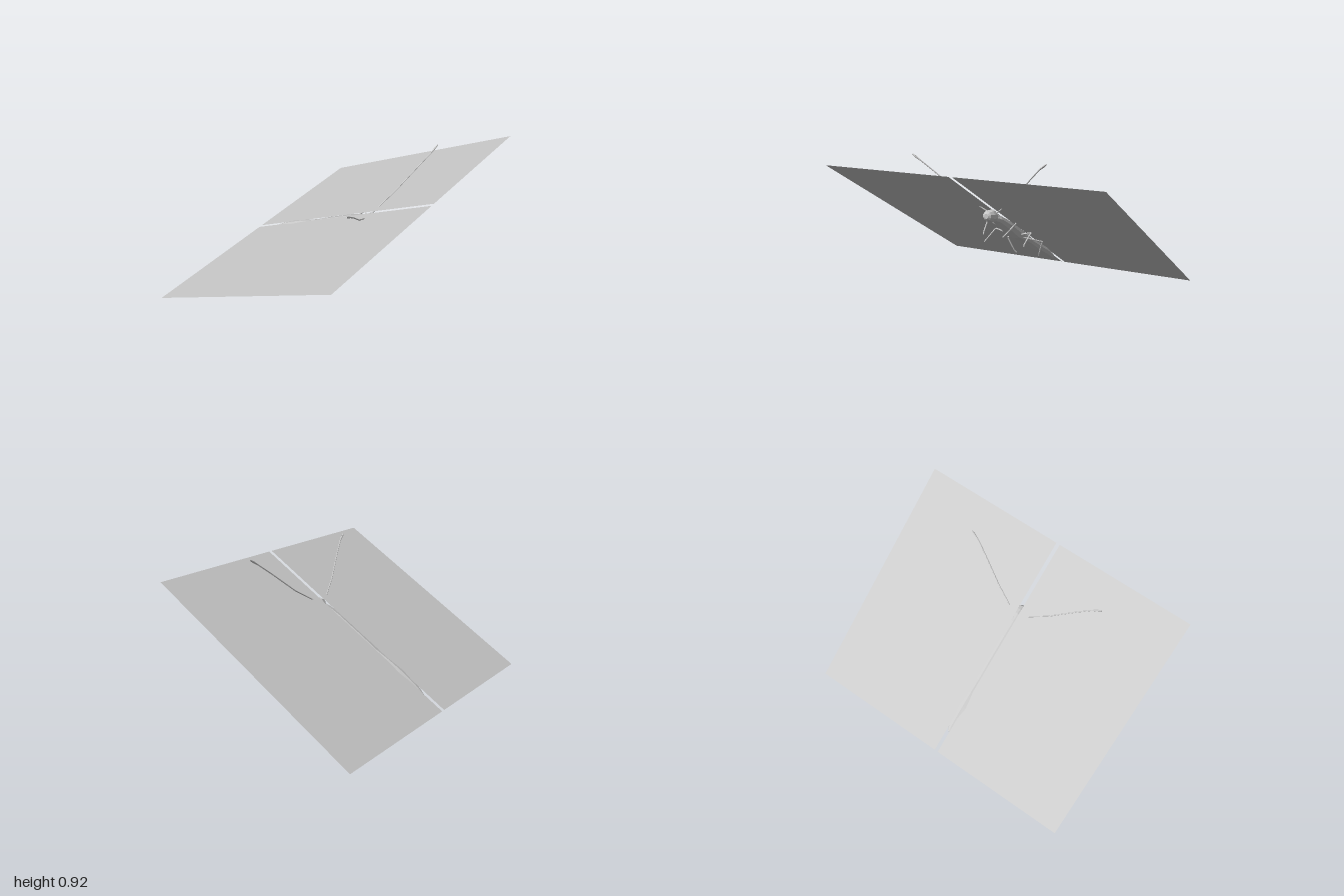
import * as THREE from 'three';

const material = new THREE.MeshStandardMaterial({ color: 0xcccccc, flatShading: true });
const wingMaterial = new THREE.MeshStandardMaterial({ color: 0xcccccc, side: THREE.DoubleSide });
const CENTRE_X = -0.004;

function addMesh(parent, name, geometry, mat = material) {
  const mesh = new THREE.Mesh(geometry, mat);
  mesh.name = name;
  parent.add(mesh);
  return mesh;
}

// Faceted skin over elliptical rings [z, top y, bottom y, half width], front to back
function loft(rings, sides) {
  const pos = [], idx = [];
  const ringPoint = ([z, top, bottom, w], a) =>
    pos.push(w * Math.sin(a), (top + bottom) / 2 + (top - bottom) / 2 * Math.cos(a), z);
  for (const r of rings) {
    for (let j = 0; j < sides; j++) ringPoint(r, (j / sides) * Math.PI * 2);
  }
  for (let i = 0; i < rings.length - 1; i++) {
    for (let j = 0; j < sides; j++) {
      const k = (j + 1) % sides;
      const a = i * sides + j, b = i * sides + k, c = a + sides, d = b + sides;
      idx.push(a, b, c, b, d, c);
    }
  }
  // End caps
  const last = (rings.length - 1) * sides;
  for (let j = 1; j < sides - 1; j++) {
    idx.push(0, j + 1, j);
    idx.push(last, last + j, last + j + 1);
  }
  const g = new THREE.BufferGeometry();
  g.setAttribute('position', new THREE.Float32BufferAttribute(pos, 3));
  g.setIndex(idx);
  g.computeVertexNormals();
  return g;
}

// Jointed limb: a tapered rod for each stretch of the path
function limb(parent, name, points, radii) {
  const group = new THREE.Group();
  group.name = name;
  const p = points.map((q) => new THREE.Vector3(...q));
  for (let i = 0; i < p.length - 1; i++) {
    const dir = p[i + 1].clone().sub(p[i]);
    const rod = addMesh(group, name + 'Segment',
      new THREE.CylinderGeometry(radii[i + 1], radii[i], dir.length(), 6));
    rod.position.copy(p[i]).addScaledVector(dir, 0.5);
    rod.quaternion.setFromUnitVectors(new THREE.Vector3(0, 1, 0), dir.normalize());
  }
  parent.add(group);
}

export function createModel() {
  const model = new THREE.Group();
  model.name = 'insect';

  const body = new THREE.Group();
  body.name = 'body';
  body.position.x = CENTRE_X;
  model.add(body);

  // Thorax and abdomen, pinched at the waist
  addMesh(body, 'thoraxAndAbdomen', loft([
    [0.25, 0.545, 0.485, 0.026],
    [0.21, 0.53, 0.468, 0.045],
    [0.10, 0.478, 0.395, 0.058],
    [0.00, 0.42, 0.325, 0.062],
    [-0.10, 0.362, 0.285, 0.052],
    [-0.20, 0.30, 0.246, 0.038],
    [-0.30, 0.252, 0.182, 0.047],
    [-0.40, 0.197, 0.132, 0.05],
    [-0.48, 0.147, 0.094, 0.038],
    [-0.54, 0.105, 0.069, 0.024],
    [-0.575, 0.072, 0.066, 0.008],
  ], 8));

  // Head
  addMesh(body, 'head', loft([
    [0.336, 0.553, 0.52, 0.016],
    [0.325, 0.568, 0.505, 0.032],
    [0.295, 0.573, 0.488, 0.043],
    [0.26, 0.57, 0.486, 0.04],
    [0.23, 0.535, 0.485, 0.024],
  ], 10));

  for (const [side, s] of [['left', 1], ['right', -1]]) {
    const mirror = (pts) => pts.map(([x, y, z]) => [s * x, y, z]);

    // Antenna with a small club at the tip
    limb(body, side + 'Antenna', mirror([
      [0.02, 0.545, 0.26], [0.07, 0.575, 0.275], [0.2, 0.664, 0.327],
      [0.36, 0.81, 0.4], [0.44, 0.878, 0.434], [0.475, 0.903, 0.443], [0.495, 0.917, 0.446],
    ]), [0.005, 0.004, 0.004, 0.004, 0.004, 0.007, 0.004]);

    // Three legs
    limb(body, side + 'FrontLeg', mirror([
      [0.04, 0.415, 0.08], [0.11, 0.47, 0.15], [0.085, 0.41, 0.235], [0.075, 0.393, 0.26],
    ]), [0.006, 0.005, 0.004, 0.003]);
    limb(body, side + 'MiddleLeg', mirror([
      [0.04, 0.355, -0.01], [0.14, 0.382, 0.005], [0.148, 0.325, 0.11], [0.155, 0.31, 0.125],
    ]), [0.006, 0.005, 0.004, 0.004]);
    limb(body, side + 'BackLeg', mirror([
      [0.04, 0.33, -0.05], [0.14, 0.29, -0.15], [0.1, 0.195, -0.175], [0.09, 0.178, -0.187],
    ]), [0.006, 0.005, 0.004, 0.005]);

    // Flat wing panel sloping up toward the front
    const inner = s > 0 ? 0.011 : 0.015;
    const pitch = Math.atan2(0.84, 1.45);
    const wing = addMesh(model, side + 'Wing',
      new THREE.PlaneGeometry(1 - inner, Math.hypot(0.84, 1.45)), wingMaterial);
    wing.rotation.x = -Math.PI / 2 - pitch;
    wing.position.set(s * (1 + inner) / 2, 0.42, -0.003);
  }
  return model;
}
